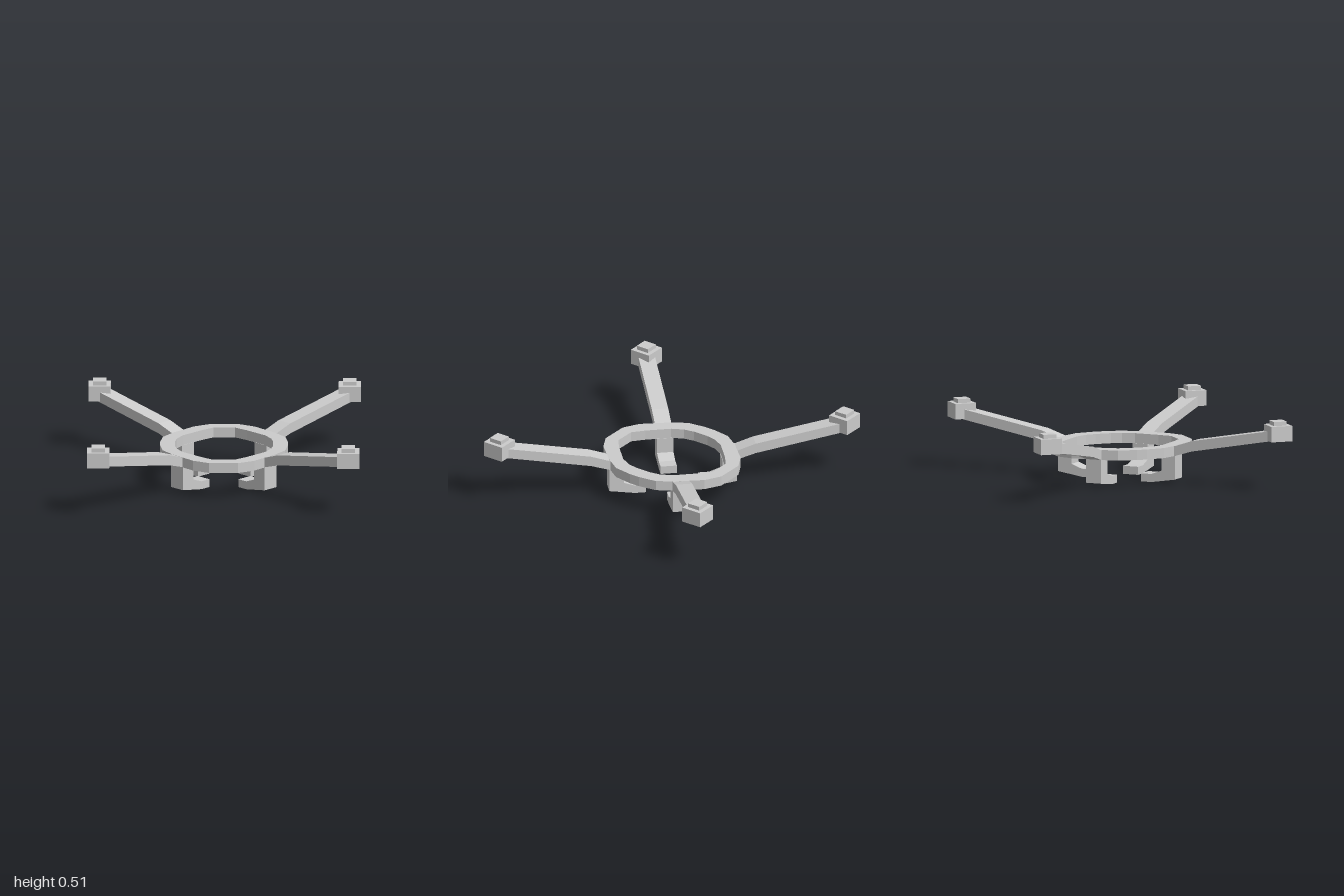
import * as THREE from 'three';

const material = new THREE.MeshStandardMaterial({ color: 0xcccccc, flatShading: true });

function addMesh(parent, name, geometry) {
  const mesh = new THREE.Mesh(geometry, material);
  mesh.name = name;
  parent.add(mesh);
  return mesh;
}

// Mirrors one quadrant of an outline into a closed loop
function mirrorQuadrant(points) {
  const back = [...points].reverse();
  return [
    ...points.map(([x, y]) => new THREE.Vector2(x, y)),
    ...back.map(([x, y]) => new THREE.Vector2(-x, y)),
    ...points.map(([x, y]) => new THREE.Vector2(-x, -y)),
    ...back.map(([x, y]) => new THREE.Vector2(x, -y)),
  ];
}

// Extrudes a side profile, centred on its own thickness
function slab(points, width) {
  const shape = new THREE.Shape(points.map(([s, y]) => new THREE.Vector2(s * Math.SQRT2, y)));
  return new THREE.ExtrudeGeometry(shape, { depth: width, bevelEnabled: false })
    .translate(0, 0, -width / 2);
}

export function createModel() {
  const model = new THREE.Group();
  model.name = 'fourArmBracket';

  // Central faceted oval ring
  const outer = [[0.47, 0.04], [0.45, 0.18], [0.375, 0.293], [0.225, 0.46], [0.107, 0.525]];
  const inner = [[0.36, 0.06], [0.345, 0.14], [0.3, 0.225], [0.165, 0.36], [0.08, 0.43]];
  const ringShape = new THREE.Shape(mirrorQuadrant(outer));
  ringShape.holes.push(new THREE.Path(mirrorQuadrant(inner)));
  const ring = new THREE.ExtrudeGeometry(ringShape, { depth: 0.075, bevelEnabled: false });
  ring.rotateX(-Math.PI / 2).translate(0, 0.205, 0);
  addMesh(model, 'ring', ring);

  // Side profiles along the diagonal: [x distance, height]
  const armProfile = [
    [0.3, 0.206], [0.337, 0.206], [0.434, 0.248], [0.895, 0.368],
    [0.895, 0.443], [0.434, 0.325], [0.337, 0.279], [0.3, 0.279],
  ];
  const hookProfile = [
    [0.144, 0], [0.202, 0], [0.337, 0.03], [0.337, 0.206],
    [0.26, 0.206], [0.26, 0.09], [0.202, 0.06], [0.144, 0.06],
  ];
  const armGeometry = slab(armProfile, 0.122);
  const hookGeometry = slab(hookProfile, 0.122);

  // Corner pads with a smaller raised cap
  const padGeometry = new THREE.BoxGeometry(0.163, 0.115, 0.163);
  const capGeometry = new THREE.BoxGeometry(0.1, 0.03, 0.1);

  for (const sx of [1, -1]) {
    for (const sz of [1, -1]) {
      const name = (sz > 0 ? 'front' : 'back') + (sx > 0 ? 'Left' : 'Right');
      const limb = new THREE.Group();
      limb.name = name + 'Limb';
      limb.position.set(sx * 0.006, 0, -sz * 0.006);
      limb.rotation.y = Math.atan2(-sz, sx);
      addMesh(limb, name + 'Arm', armGeometry);
      addMesh(limb, name + 'Hook', hookGeometry);
      model.add(limb);

      addMesh(model, name + 'Pad', padGeometry).position.set(sx * 0.9185, 0.4245, sz * 0.9);
      addMesh(model, name + 'PadCap', capGeometry).position.set(sx * 0.9185, 0.497, sz * 0.9);
    }
  }
  return model;
}
